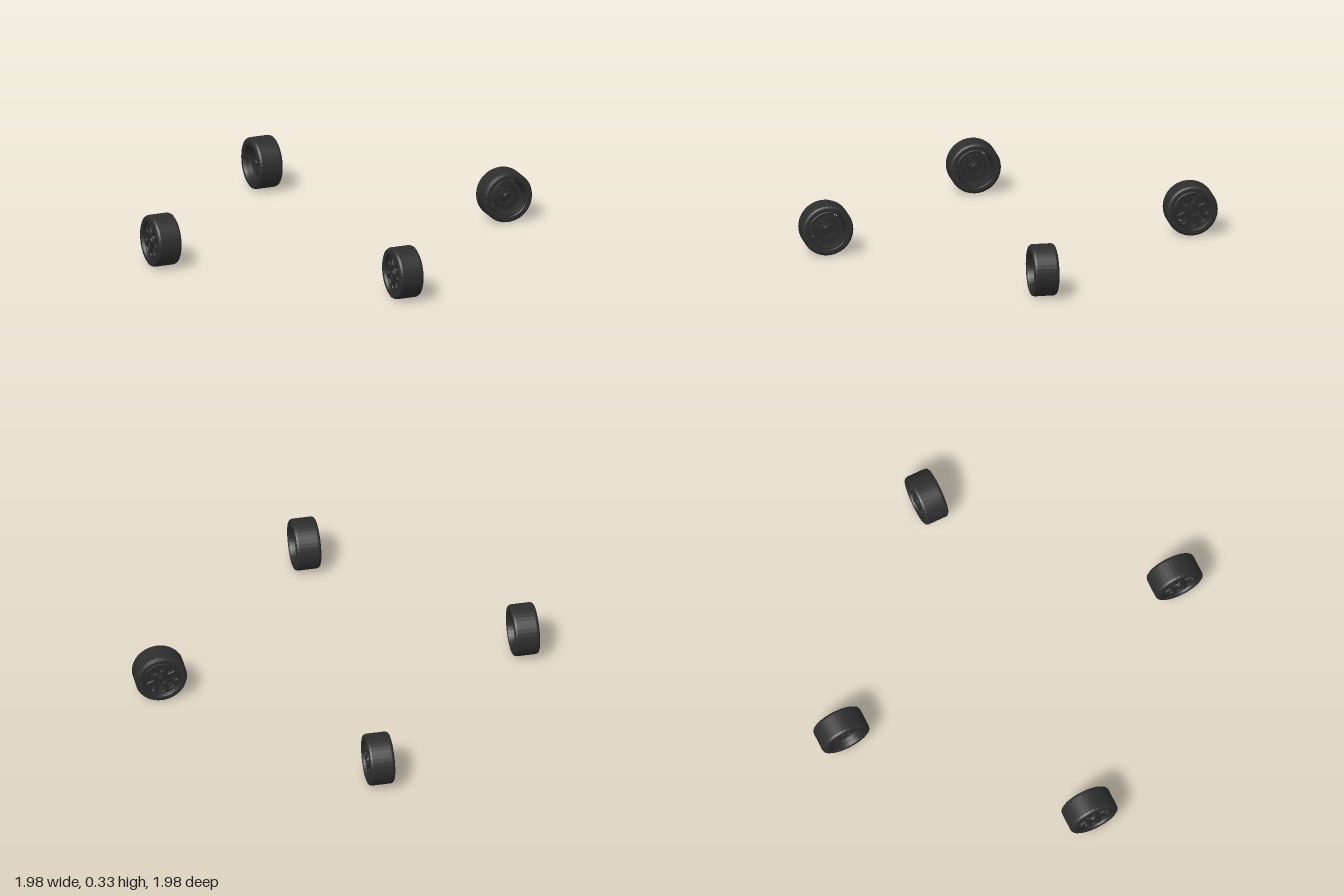
import * as THREE from 'three';
import { mergeGeometries } from 'three/addons/utils/BufferGeometryUtils.js';

const tyreMat = new THREE.MeshStandardMaterial({ color: 0x2e2e2e, name: 'tyre black' });
const rimMat = new THREE.MeshStandardMaterial({ color: 0x2a2a2a, name: 'rim charcoal' });

const R = 0.165; // wheel radius
const H = 0.08;  // half width

function add(group, name, geometry, material) {
  const mesh = new THREE.Mesh(geometry, material);
  mesh.name = name;
  group.add(mesh);
}

// Faceted solid of revolution about z, from [radius, z] pairs
function turned(profile, segments = 40) {
  const g = new THREE.LatheGeometry(profile.map(([r, z]) => new THREE.Vector2(r, z)), segments);
  const flat = g.rotateX(Math.PI / 2).toNonIndexed();
  flat.computeVertexNormals();
  return flat;
}

// Copies of one geometry spaced evenly around z
function ring(geometry, count, offset = 0) {
  const copies = [];
  for (let i = 0; i < count; i++) {
    copies.push(geometry.clone().rotateZ(((i + offset) / count) * Math.PI * 2));
  }
  return mergeGeometries(copies);
}

// Cylinder along z at a given radius on the +x side
function peg(radius, length, atRadius, z, sides = 6) {
  return new THREE.CylinderGeometry(radius, radius, length, sides)
    .rotateX(Math.PI / 2).translate(atRadius, 0, z);
}

// Wheel face with eight tapering windows between the spokes
function spokeFace() {
  const shape = new THREE.Shape().absarc(0, 0, 0.117, 0, Math.PI * 2);
  for (let i = 0; i < 8; i++) {
    const a = (i / 8) * Math.PI * 2;
    const at = (r, t) => new THREE.Vector2(r * Math.cos(a + t), r * Math.sin(a + t));
    const hole = new THREE.Path();
    hole.setFromPoints([
      at(0.055, -0.13), at(0.055, 0.13), at(0.075, 0.25), at(0.093, 0.26),
      at(0.103, 0.15), at(0.103, -0.15), at(0.093, -0.26), at(0.075, -0.25),
    ]);
    shape.holes.push(hole);
  }
  return new THREE.ExtrudeGeometry(shape, {
    depth: 0.02, bevelEnabled: true, bevelThickness: 0.004, bevelSize: 0.003,
    bevelOffset: -0.003, bevelSegments: 1, curveSegments: 40,
  });
}

// One wheel, outer face towards +z
function createWheel() {
  const wheel = new THREE.Group();

  add(wheel, 'tyre', turned([
    [0.122, -H + 0.008], [0.128, -H], [0.15, -H], [0.16, -H + 0.006], [R, -H + 0.018],
    [R, H - 0.018], [0.16, H - 0.006], [0.15, H], [0.128, H], [0.122, H - 0.008],
  ]), tyreMat);

  // Open barrel with a lip at each end
  add(wheel, 'rimBarrel', turned([
    [0.124, -0.074], [0.124, 0.074], [0.118, 0.077], [0.114, 0.068],
    [0.112, 0.04], [0.108, -0.03], [0.114, -0.065], [0.118, -0.077], [0.124, -0.074],
  ]), rimMat);

  add(wheel, 'spokes', spokeFace().translate(0, 0, 0.04), rimMat);
  add(wheel, 'rimBolts', ring(peg(0.006, 0.01, 0.1, 0.067), 8, 0.5), rimMat);

  // Hub cap and wheel nuts on the outer face
  add(wheel, 'hubCap', turned([
    [0.045, 0.06], [0.043, 0.07], [0.034, 0.071], [0.031, 0.066],
    [0.022, 0.066], [0.019, 0.075], [0, 0.076],
  ], 24), rimMat);
  add(wheel, 'wheelNuts', ring(peg(0.005, 0.012, 0.027, 0.068), 5), rimMat);

  // Brake disc with cooling ribs, seen from the inner side
  add(wheel, 'brakeDisc', turned([
    [0, -0.01], [0.098, -0.01], [0.098, 0.01], [0, 0.01],
  ]), rimMat);
  add(wheel, 'coolingRibs',
    ring(new THREE.BoxGeometry(0.018, 0.004, 0.012).translate(0.093, 0, -0.013), 40), rimMat);
  add(wheel, 'discRing', turned([
    [0.066, -0.008], [0.066, -0.028], [0.072, -0.028], [0.076, -0.008],
  ]), rimMat);

  // Inner hub, slotted collar and axle end
  add(wheel, 'collar',
    ring(new THREE.BoxGeometry(0.009, 0.036, 0.03).translate(0.05, 0, -0.025), 6), rimMat);
  add(wheel, 'innerHub', turned([
    [0, -0.05], [0.018, -0.05], [0.022, -0.045], [0.024, -0.03], [0.036, -0.028], [0.04, -0.008],
  ], 24), rimMat);
  return wheel;
}

export function createModel() {
  const model = new THREE.Group();
  const C = 0.827;
  // name, x, z, heading of the outer face
  const places = [
    ['frontLeftWheel', C, C, -Math.PI / 4],
    ['frontRightWheel', -C, C, -Math.PI / 4],
    ['backLeftWheel', C, -C, -Math.PI * 3 / 4],
    ['backRightWheel', -C, -C, Math.PI * 3 / 4],
  ];
  for (const [name, x, z, heading] of places) {
    const wheel = createWheel();
    wheel.name = name;
    wheel.position.set(x, R, z);
    wheel.rotation.y = heading;
    model.add(wheel);
  }
  return model;
}
